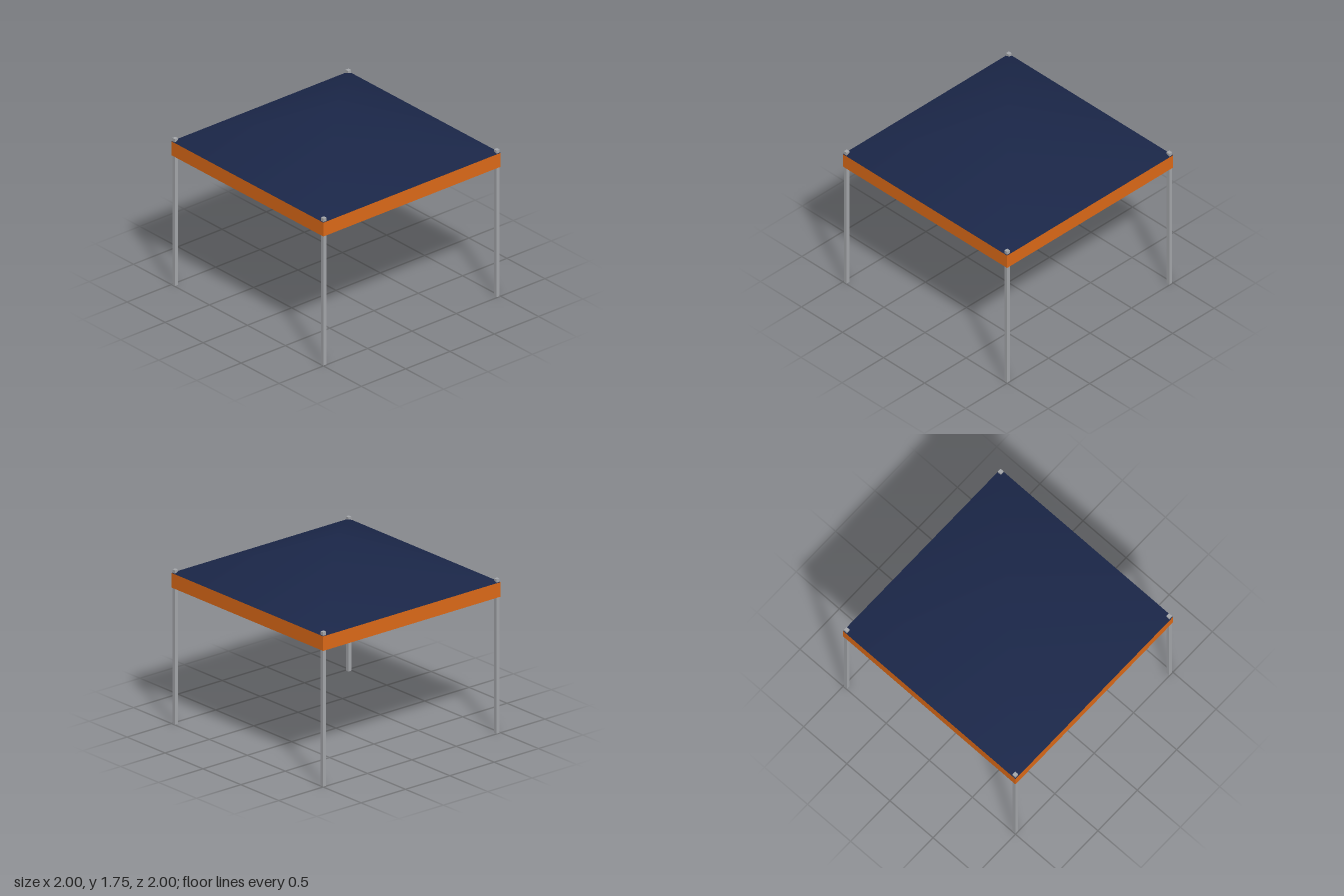
import * as THREE from 'three';
import { mergeVertices } from 'three/addons/utils/BufferGeometryUtils.js';

// Square pyramid shell, 2 wide, with shared corners so it shades softly.
// A facing of -1 mirrors it, turning its faces inward.
function pyramid(height, facing) {
  const cone = new THREE.ConeGeometry(Math.SQRT2, height, 4, 1, true);
  cone.rotateY(Math.PI / 4).scale(facing, 1, 1);
  cone.deleteAttribute('normal');
  cone.deleteAttribute('uv');
  const shell = mergeVertices(cone);
  shell.computeVertexNormals();
  return shell;
}

export function createModel() {
  const model = new THREE.Group();
  model.name = 'canopyTent';

  const makeColour = (name, color) => {
    const material = new THREE.MeshStandardMaterial({ color });
    material.name = name;
    return material;
  };
  const navy = makeColour('navy canvas', 0x1b2749);
  const orange = makeColour('orange trim', 0xdf6b18);
  const grey = makeColour('grey metal', 0xa6a8ac);

  const add = (name, geometry, material, x, y, z) => {
    const mesh = new THREE.Mesh(geometry, material);
    mesh.name = name;
    mesh.position.set(x, y, z);
    model.add(mesh);
  };

  const eaves = 1.382, peak = 1.75, trimBottom = 1.248;
  const rise = peak - eaves, trimHeight = eaves - trimBottom;

  // Roof, and the lining running parallel beneath it
  add('roof', pyramid(rise, 1), navy, 0, eaves + rise / 2, 0);
  add('lining', pyramid(rise, -1), orange, 0, trimBottom + rise / 2, 0);

  // Band around the edge, joining roof and lining
  for (let i = 0; i < 4; i++) {
    const angle = (i * Math.PI) / 2;
    const panel = new THREE.PlaneGeometry(2, trimHeight).rotateY(angle);
    add('valance', panel, orange, Math.sin(angle), trimBottom + trimHeight / 2, Math.cos(angle));
  }

  // Corner poles, poking slightly above the eaves
  const poleHeight = 1.415, poleWidth = 0.034, poleOffset = 0.977;
  const pole = new THREE.BoxGeometry(poleWidth, poleHeight, poleWidth);
  for (const [side, sx] of [['Left', 1], ['Right', -1]]) {
    for (const [end, sz] of [['front', 1], ['back', -1]]) {
      add(`${end}${side}Pole`, pole, grey, sx * poleOffset, poleHeight / 2, sz * poleOffset);
    }
  }

  return model;
}
